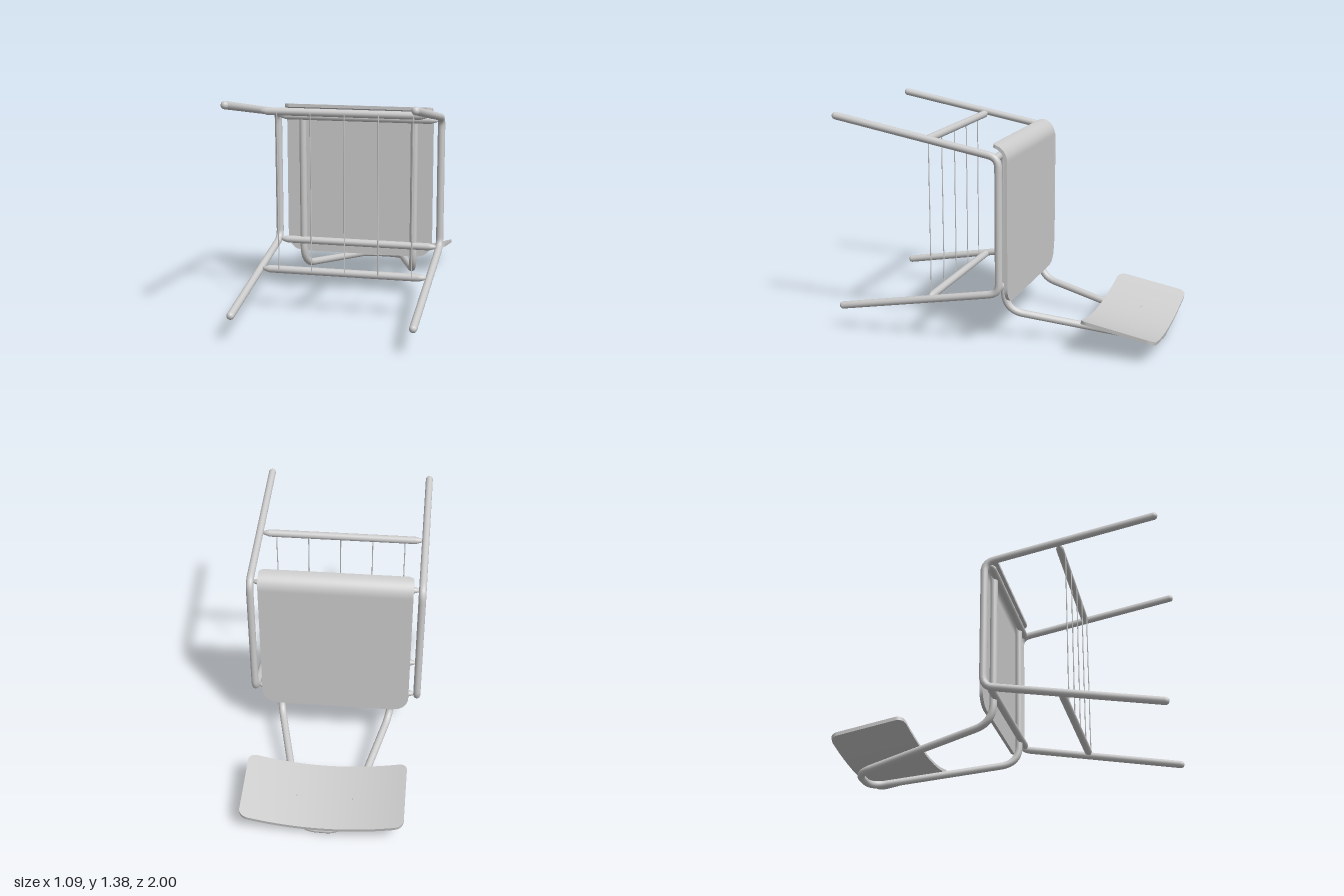
import * as THREE from 'three';

const V = (x, y, z) => new THREE.Vector3(x, y, z);
const metal = new THREE.MeshStandardMaterial({ color: 0xcccccc });

function add(parent, name, geometry) {
  const mesh = new THREE.Mesh(geometry, metal);
  mesh.name = name;
  parent.add(mesh);
  return mesh;
}

// Bent tube through corner points, each corner rounded by its trim length, with domed ends
function bentTube(parent, name, points, trims, radius, segments) {
  const group = new THREE.Group();
  group.name = name;
  const path = new THREE.CurvePath();
  const last = points.length - 1;
  let from = points[0];
  for (let i = 1; i < last; i++) {
    const toward = (p) => points[i].clone().add(p.clone().sub(points[i]).setLength(trims[i - 1]));
    const a = toward(points[i - 1]);
    const b = toward(points[i + 1]);
    path.add(new THREE.LineCurve3(from, a));
    path.add(new THREE.QuadraticBezierCurve3(a, points[i], b));
    from = b;
  }
  path.add(new THREE.LineCurve3(from, points[last]));
  add(group, name + 'Tube', new THREE.TubeGeometry(path, segments, radius, 16));
  for (const end of [points[0], points[last]]) {
    add(group, name + 'End', new THREE.SphereGeometry(radius, 16, 10)).position.copy(end);
  }
  parent.add(group);
}

// Thin panel with rounded corners (startR at v = 0, endR at v = length), shaped by bend(x, v, n)
function panel(parent, name, width, length, thick, startR, endR, bend) {
  const g = new THREE.BoxGeometry(width, length, thick, 24, 100, 1);
  const p = g.attributes.position;
  const inset = (r, d) => (d < r ? r - Math.sqrt(r * r - (r - d) ** 2) : 0);
  for (let i = 0; i < p.count; i++) {
    const v = Math.min(length, Math.max(0, p.getY(i) + length / 2));
    const half = width / 2 - inset(startR, v) - inset(endR, length - v);
    const q = bend((p.getX(i) * half) / (width / 2), v, p.getZ(i));
    p.setXYZ(i, q.x, q.y, q.z);
  }
  g.computeVertexNormals();
  add(parent, name, g);
}

export function createModel() {
  const chair = new THREE.Group();
  chair.name = 'chairLyingOnItsBack';

  // Side frames: front leg, seat rail and rear leg in one bent tube
  for (const [side, x] of [['left', 0.523], ['right', -0.523]]) {
    bentTube(chair, side + 'LegFrame', [
      V(x, 0.16, 0.975), V(x, 0.348, -0.062), V(x, 1.172, -0.062), V(x, 1.36, 0.975),
    ], [0.06, 0.06], 0.023, 120);
  }

  // Crossbars with pinched ends
  const profile = [[0, -0.505], [0.009, -0.505], [0.016, -0.485], [0.0235, -0.46],
    [0.0235, 0.46], [0.016, 0.485], [0.009, 0.505], [0, 0.505]];
  const barGeometry = new THREE.LatheGeometry(profile.map(([r, y]) => new THREE.Vector2(r, y)), 16);
  for (const [name, y, z] of [
    ['frontSeatBar', 1.157, -0.025], ['rearSeatBar', 0.35, -0.025],
    ['frontStretcher', 1.246, 0.394], ['rearStretcher', 0.272, 0.394],
  ]) {
    const bar = add(chair, name, barGeometry);
    bar.rotation.z = Math.PI / 2;
    bar.position.set(0, y, z);
  }

  // Thin shelf wires between the stretchers
  const wireGeometry = new THREE.CylinderGeometry(0.0035, 0.0035, 0.965, 8);
  for (let i = 0; i < 5; i++) {
    add(chair, 'shelfWire', wireGeometry).position.set(-0.395 + i * 0.204, 0.759, 0.417);
  }

  // Backrest support: runs under the seat, bends up and closes in a U behind the backrest
  bentTube(chair, 'backSupport', [
    V(0.357, 1.15, -0.04), V(0.357, 0.19, -0.04), V(0.125, 0.024, -0.95),
    V(-0.125, 0.024, -0.95), V(-0.357, 0.19, -0.04), V(-0.357, 1.15, -0.04),
  ], [0.12, 0.1, 0.1, 0.12], 0.023, 240);

  // Seat: flat board whose front edge rolls over
  const R = 0.087, flat = 0.875, seatRear = 0.265;
  panel(chair, 'seat', 0.94, flat + R * 1.55, 0.02, 0.1, 0.03, (x, v, n) => {
    const a = Math.max(0, v - flat) / R;
    return V(x, seatRear + Math.min(v, flat) + (R - n) * Math.sin(a), -(R - n) * Math.cos(a));
  });

  // Backrest: board curved across its width
  const along = V(0, -0.18, -0.984).normalize();
  const normal = V(0, 0.984, -0.18).normalize();
  const onBack = (x, v, n) => V(x, 0.14, -0.535)
    .addScaledVector(along, v)
    .addScaledVector(normal, n + 0.33 * x * x);
  panel(chair, 'backrest', 0.98, 0.458, 0.022, 0.05, 0.05, onBack);

  // Backrest screws
  for (const x of [-0.175, 0.165]) {
    const screw = add(chair, 'backrestScrew', new THREE.SphereGeometry(0.006, 10, 6));
    screw.position.copy(onBack(x, 0.24, 0.01));
  }

  return chair;
}
